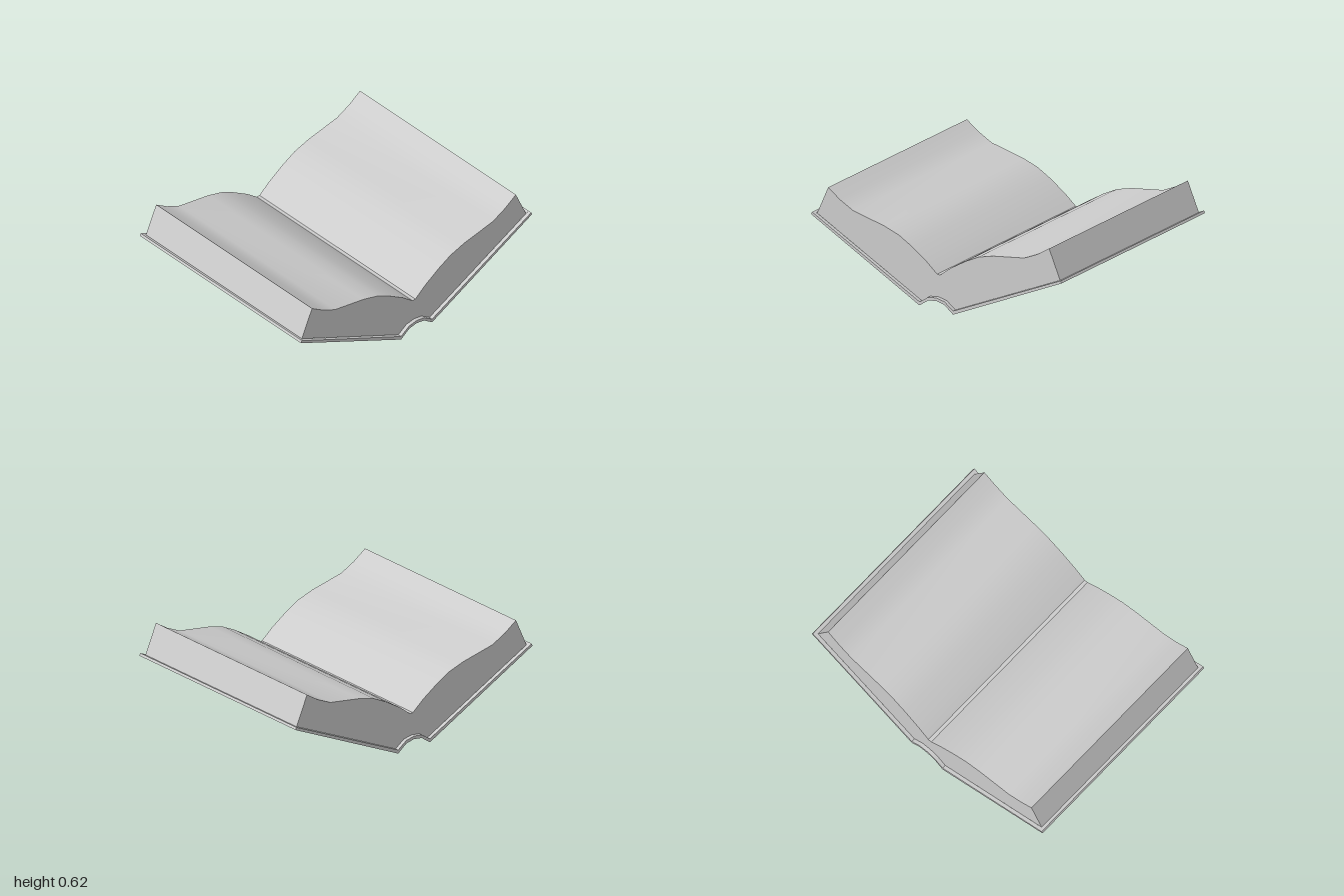
import * as THREE from 'three';

const PAGE_Z = 0.735, COVER_Z = 0.76;
const material = new THREE.MeshStandardMaterial({ color: 0xcccccc, side: THREE.DoubleSide });

// Profiles in x, y for the +x half, running outwards from the middle
const pageTop = [[0.012, 0.235], [0.096, 0.302], [0.214, 0.377], [0.316, 0.43], [0.433, 0.465],
  [0.682, 0.511], [0.786, 0.561], [0.88, 0.623]];
const pageFoot = [0.968, 0.426];
const coverTip = [0.99, 0.436], coverTipLow = [0.998, 0.42];
const hinge = [0.134, 0.025], hingeLow = [0.134, 0];

const flip = (points) => points.map(([x, y]) => [-x, y]).reverse();
const mirrored = (half) => [...flip(half), ...half];
const at = (points, z) => points.map(([x, y]) => [x, y, z]);

// Spine arch, left to right
const arch = [...flip([[0.065, 0.072], hinge]), [0, 0.083], [0.065, 0.072], hinge];
const archLow = [...flip([[0.065, 0.05], hingeLow]), [0, 0.062], [0.065, 0.05], hingeLow];

// Surface between two rows of points with equal counts
function strip(name, a, b) {
  const geometry = new THREE.BufferGeometry();
  geometry.setAttribute('position', new THREE.Float32BufferAttribute([...a, ...b].flat(), 3));
  const n = a.length, index = [];
  for (let i = 0; i < n - 1; i++) index.push(i, i + 1, n + i, i + 1, n + i + 1, n + i);
  geometry.setIndex(index);
  geometry.computeVertexNormals();
  const mesh = new THREE.Mesh(geometry, material);
  mesh.name = name;
  return mesh;
}

// Strip across the depth, from front to back
const across = (name, points, z) => strip(name, at(points, z), at(points, -z));

// Upright face: lower and upper corner, each running front to back
const upright = (name, low, high, z) => strip(name,
  [[...low, z], [...low, -z]], [[...high, z], [...high, -z]]);

// One page side and one end; the other half is the same turned by 180 degrees
function buildHalf(name) {
  const half = new THREE.Group();
  half.name = name;

  // Curved page and its sloping fore edge
  half.add(across('page', pageTop, PAGE_Z));
  half.add(upright('foreEdge', pageFoot, pageTop.at(-1), PAGE_Z));

  // End of the page block
  const outline = [...mirrored([...pageTop, pageFoot]), ...arch.slice().reverse()];
  const shape = new THREE.Shape(outline.map(([x, y]) => new THREE.Vector2(x, y)));
  const end = new THREE.Mesh(new THREE.ShapeGeometry(shape), material);
  end.name = 'pageBlockEnd';
  end.position.z = PAGE_Z;
  half.add(end);

  // Cover ledge and thin outer edge along the end: board, spine, board
  const board = [hinge, coverTip], boardLow = [hingeLow, coverTipLow];
  const sections = [
    ['leftBoard', flip(board), flip(boardLow)],
    ['spine', arch, archLow],
    ['rightBoard', board, boardLow],
  ];
  for (const [part, high, low] of sections) {
    half.add(strip(part + 'Ledge', at(high, COVER_Z), at(high, PAGE_Z)));
    half.add(strip(part + 'Edge', at(low, COVER_Z), at(high, COVER_Z)));
  }

  // Cover ledge and outer edge beside the fore edge
  half.add(across('sideLedge', [pageFoot, coverTip], PAGE_Z));
  half.add(upright('sideEdge', coverTipLow, coverTip, COVER_Z));
  return half;
}

export function createModel() {
  const book = new THREE.Group();
  book.name = 'openBook';
  const front = buildHalf('frontAndLeftHalf');
  const back = buildHalf('backAndRightHalf');
  back.rotation.y = Math.PI;
  // Narrow flat strip where the pages meet
  book.add(front, back, across('gutter', mirrored([pageTop[0]]), PAGE_Z));
  return book;
}
